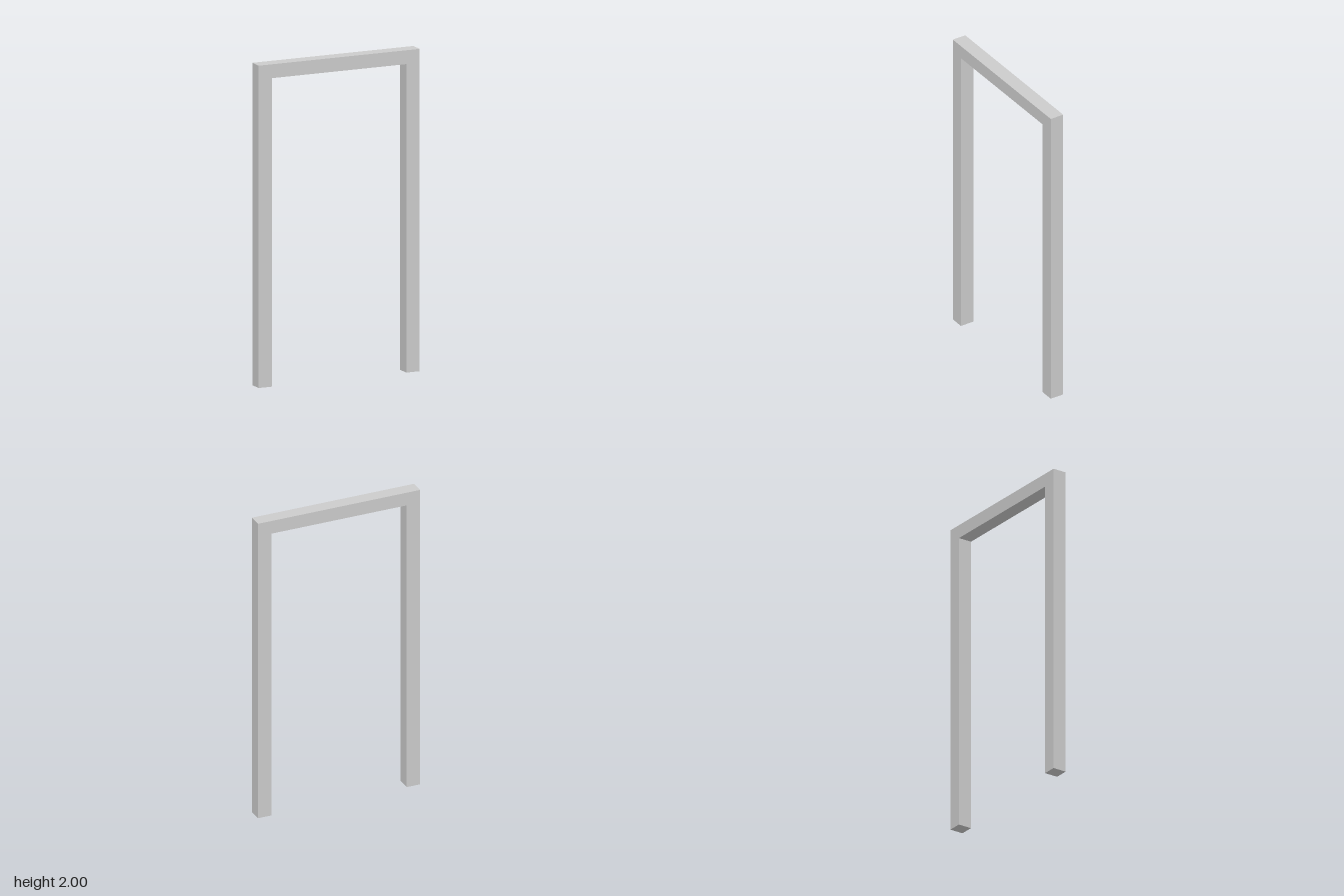
import * as THREE from 'three';

export function createModel() {
  const height = 2, halfWidth = 0.541, post = 0.09, lintel = 0.086, depth = 0.09;
  const inner = halfWidth - post, under = height - lintel;

  // Outline of the two posts and the lintel as one continuous piece
  const outline = new THREE.Shape([
    [-halfWidth, 0], [-inner, 0], [-inner, under], [inner, under],
    [inner, 0], [halfWidth, 0], [halfWidth, height], [-halfWidth, height],
  ].map(([x, y]) => new THREE.Vector2(x, y)));

  const geometry = new THREE.ExtrudeGeometry(outline, { depth, bevelEnabled: false });
  geometry.translate(0, 0, -depth / 2);

  const frame = new THREE.Mesh(geometry, new THREE.MeshStandardMaterial({ color: 0xcccccc }));
  frame.name = 'doorFrame';

  const model = new THREE.Group();
  model.name = 'doorway';
  model.add(frame);
  return model;
}
